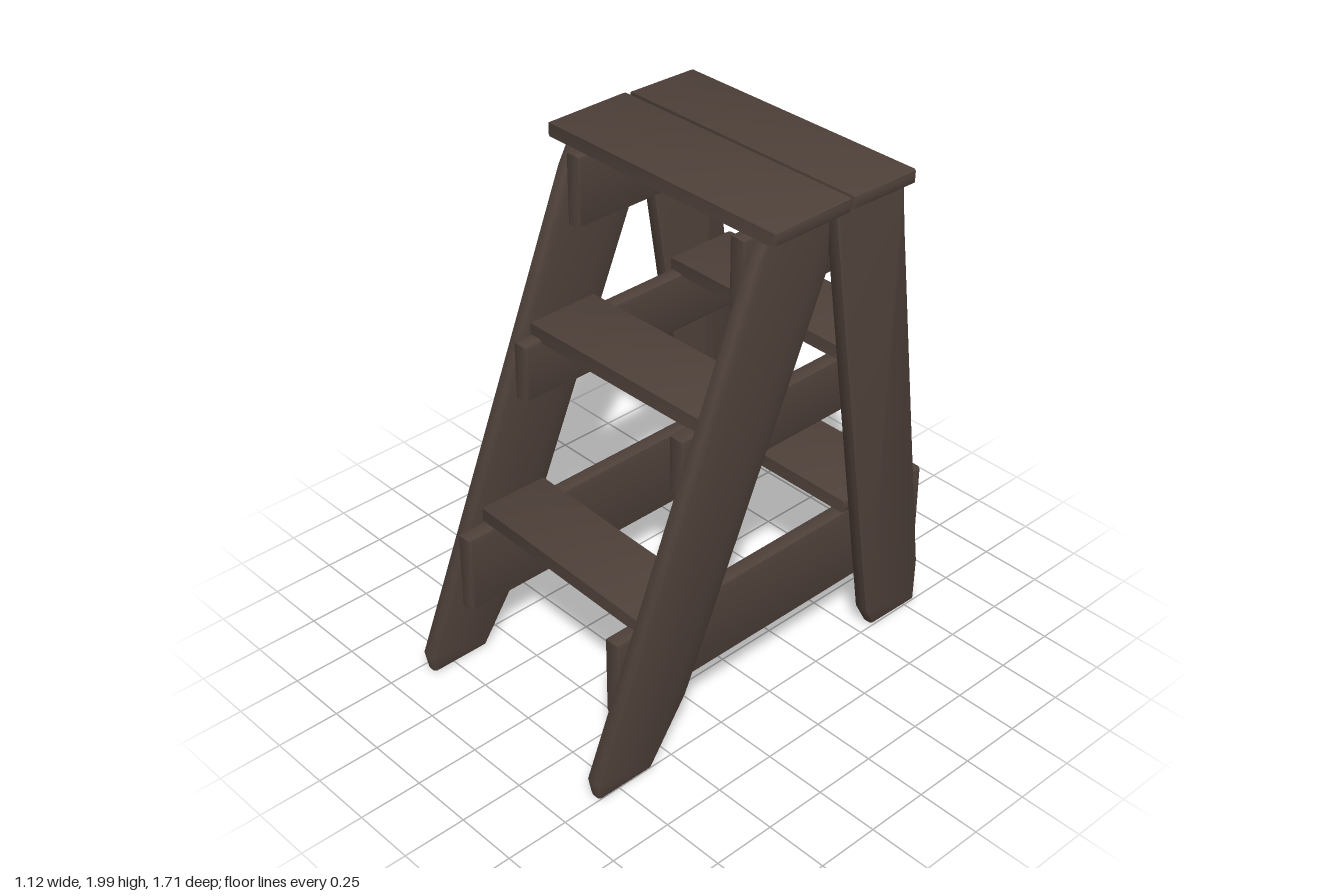
import * as THREE from 'three';
import { toCreasedNormals } from 'three/addons/utils/BufferGeometryUtils.js';

const wood = new THREE.MeshStandardMaterial({ color: 0x4f413a });
wood.name = 'darkWood';

// Board with softened edges: outline in [z, y], spanning x0 to x1
function board(name, outline, x0, x1, bevel = 0.015) {
  const shape = new THREE.Shape(outline.map(([z, y]) => new THREE.Vector2(z, y)));
  const geo = new THREE.ExtrudeGeometry(shape, {
    depth: x1 - x0 - 2 * bevel, bevelEnabled: true, bevelThickness: bevel,
    bevelSize: bevel, bevelOffset: -bevel, bevelSegments: 2,
  });
  geo.rotateY(-Math.PI / 2);
  geo.computeBoundingBox();
  const c = geo.boundingBox.getCenter(new THREE.Vector3());
  geo.translate(-c.x, -c.y, -c.z);
  const mesh = new THREE.Mesh(toCreasedNormals(geo, 0.7), wood);
  mesh.name = name;
  mesh.position.set((x0 + x1) / 2, c.y, c.z);
  return mesh;
}

const rect = (z0, z1, y0, y1) => [[z0, y0], [z1, y0], [z1, y1], [z0, y1]];

// Horizontal plank, slightly askew like hand-nailed timber
function plank(name, z0, z1, y0, y1, x0, x1, roll = 0, yaw = 0, pitch = 0) {
  const mesh = board(name, rect(z0, z1, y0, y1), x0, x1, 0.012);
  mesh.rotation.set(pitch, yaw, roll);
  return mesh;
}

export function createModel() {
  const model = new THREE.Group();
  model.name = 'stepLadder';

  const frontLeg = [[0.60, 0.005], [0.84, 0.005], [0.855, 0.08], [0.12, 1.87],
    [0.08, 1.94], [-0.19, 1.94], [-0.22, 1.91], [-0.22, 1.73], [0.43, 0.25]];
  const backLeg = [[-0.56, 0.015], [-0.80, 0.01], [-0.805, 0.2], [-0.60, 1.75],
    [-0.58, 1.94], [-0.24, 1.94], [-0.515, 0.1]];

  for (const side of [-1, 1]) {
    const label = side < 0 ? 'right' : 'left';
    // Legs
    const outer = side < 0 ? -0.49 : 0.445;
    model.add(board(label + 'FrontLeg', frontLeg, outer, outer + 0.062, 0.018));
    model.add(board(label + 'BackLeg', backLeg, outer, outer + 0.062, 0.018));

    // Side rails carrying the treads
    const inner = side < 0 ? -0.43 : 0.38;
    const drop = side < 0 ? -0.01 : 0;
    const rails = [
      ['LowerRail', 0.70, -0.855, 0.26, 0.585],
      ['MiddleRail', 0.40, -0.69, 1.06 + drop, 1.285],
      ['TopRail', 0.13, -0.62, 1.66, 1.94],
    ];
    for (const [name, z1, z0, y0, y1] of rails) {
      model.add(board(label + name, rect(z0, z1, y0, y1), inner, inner + 0.068));
    }
  }

  // Treads front and back
  model.add(plank('frontLowerTread', 0.30, 0.59, 0.585, 0.64, -0.435, 0.45, -0.01, -0.02));
  model.add(plank('backLowerTread', -0.75, -0.42, 0.585, 0.64, -0.41, 0.45));
  model.add(plank('frontMiddleTread', 0.02, 0.32, 1.275, 1.335, -0.435, 0.445, 0.012));
  model.add(plank('backMiddleTread', -0.665, -0.36, 1.28, 1.335, -0.435, 0.445, 0.008, -0.015));

  // Two top boards
  model.add(plank('frontTopBoard', -0.263, 0.095, 1.942, 1.995, -0.565, 0.553));
  model.add(plank('backTopBoard', -0.58, -0.277, 1.942, 1.993, -0.552, 0.555, 0, -0.004, -0.02));
  return model;
}
